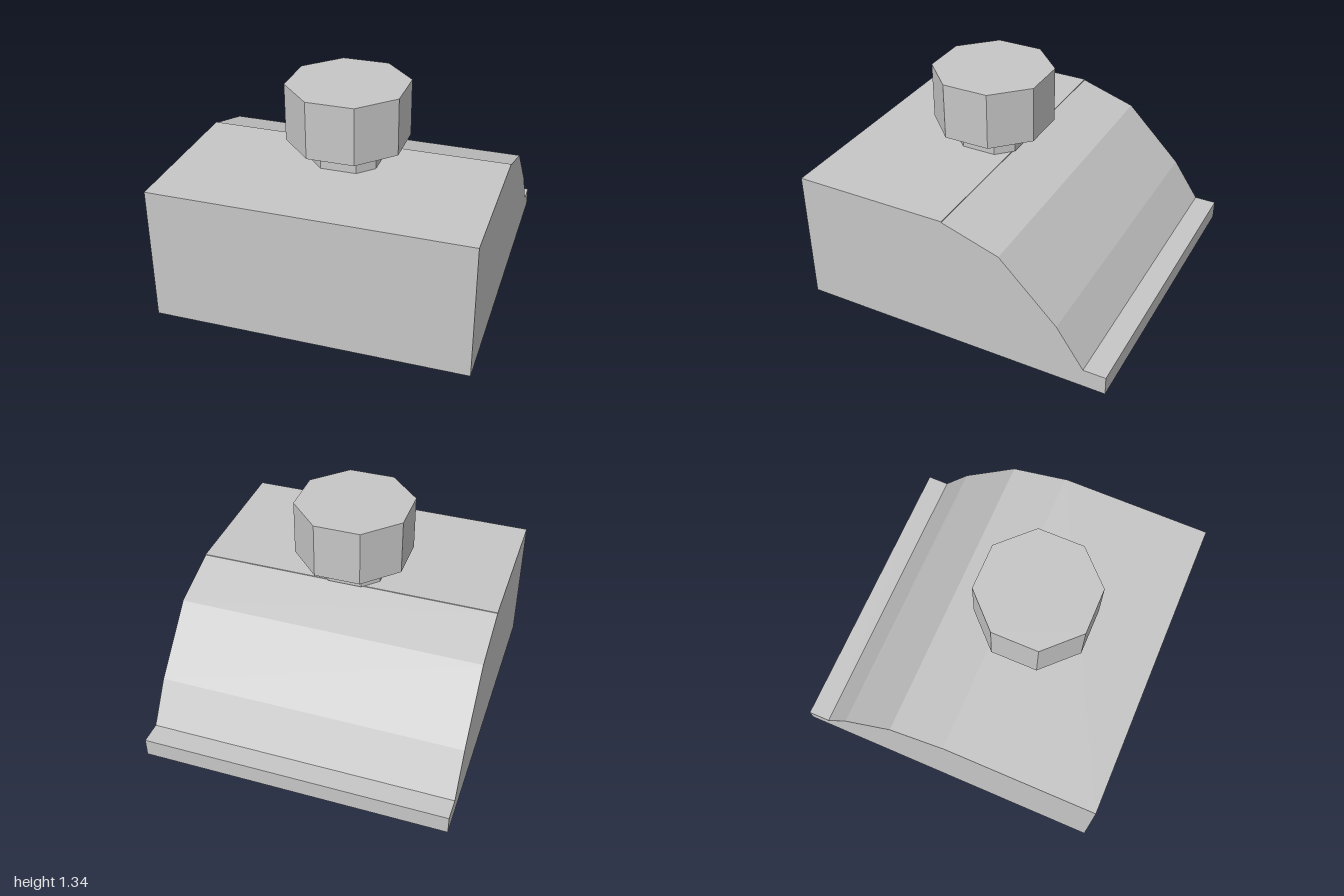
import * as THREE from 'three';

const WIDTH = 1.94;
const KNOB_X = 0.005, KNOB_Z = 0.22;

const grey = new THREE.MeshStandardMaterial({ color: 0xc6c6c6 });
grey.name = 'plainGrey';

// Upright eight-sided block: half is the distance to its flats, flat half a flat's length
function octagonBlock(name, half, flat, bottom, top) {
  const corners = [
    [half, -flat], [half, flat], [flat, half], [-flat, half],
    [-half, flat], [-half, -flat], [-flat, -half], [flat, -half],
  ];
  const shape = new THREE.Shape(corners.map(([x, y]) => new THREE.Vector2(x, y)));
  const geometry = new THREE.ExtrudeGeometry(shape, { depth: top - bottom, bevelEnabled: false });
  geometry.rotateX(-Math.PI / 2);
  const mesh = new THREE.Mesh(geometry, grey);
  mesh.name = name;
  mesh.position.set(KNOB_X, bottom, KNOB_Z);
  return mesh;
}

// Body: side profile as (z, y), run across the full width
function slopedBody() {
  const profile = [
    [1, 0], [-1, 0], [-1, 0.12], [-0.86, 0.12],
    [-0.69, 0.37], [-0.33, 0.73], [0.03, 0.845], [0.03, 0.85], [1, 0.85],
  ];
  const shape = new THREE.Shape(profile.map(([z, y]) => new THREE.Vector2(-z, y)));
  const geometry = new THREE.ExtrudeGeometry(shape, { depth: WIDTH, bevelEnabled: false });
  geometry.translate(0, 0, -WIDTH / 2);
  geometry.rotateY(Math.PI / 2);
  const mesh = new THREE.Mesh(geometry, grey);
  mesh.name = 'body';
  return mesh;
}

export function createModel() {
  const model = new THREE.Group();
  model.name = 'slopedBlockWithKnob';
  model.add(
    slopedBody(),
    octagonBlock('knobStem', 0.205, 0.11, 0.85, 0.98),
    octagonBlock('knobHead', 0.35, 0.146, 0.98, 1.34),
  );
  return model;
}
